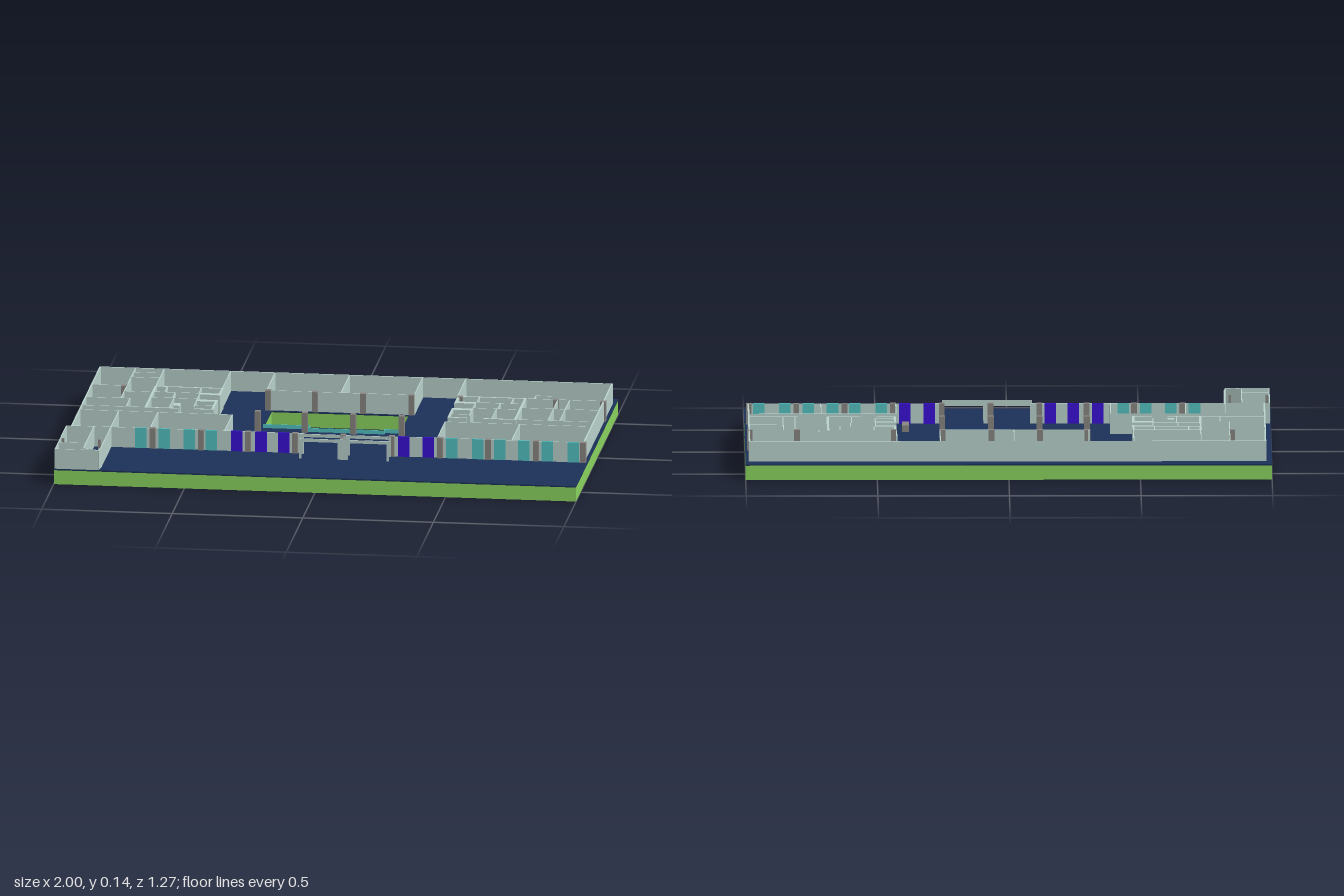
import * as THREE from 'three';

const mat = (color) => new THREE.MeshStandardMaterial({ color });
const FLOOR = 0.06, TOP = 0.138;

export function createModel() {
  const model = new THREE.Group();
  const wallMat = mat(0xbcd4cf), navy = mat(0x1c3058), green = mat(0x8cd660);
  const under = mat(0x6f8580), columnMat = mat(0x8a8783), teal = mat(0x55c4c4), purple = mat(0x3a10d8);

  const group = (name) => {
    const g = new THREE.Group();
    g.name = name;
    model.add(g);
    return g;
  };
  // Box given by its limits in x, z and y
  const block = (parent, name, material, x0, x1, z0, z1, y0 = FLOOR, y1 = TOP) => {
    const m = new THREE.Mesh(new THREE.BoxGeometry(x1 - x0, y1 - y0, z1 - z0), material);
    m.position.set((x0 + x1) / 2, (y0 + y1) / 2, (z0 + z1) / 2);
    m.name = name;
    parent.add(m);
  };
  // Straight wall between two plan points
  const wall = (parent, [x0, z0, x1, z1], t = 0.004, name = 'wall', material = wallMat, y0 = FLOOR, y1 = TOP) => {
    const len = Math.hypot(x1 - x0, z1 - z0);
    const m = new THREE.Mesh(new THREE.BoxGeometry(len + t, y1 - y0, t), material);
    m.position.set((x0 + x1) / 2, (y0 + y1) / 2, (z0 + z1) / 2);
    m.rotation.y = -Math.atan2(z1 - z0, x1 - x0);
    m.name = name;
    parent.add(m);
  };
  const mirrorX = (x) => -x - 0.045; // maps the right-hand core onto the left-hand one

  // Base and floor, both pierced by the courtyard and the two shafts
  const plan = (pts) => pts.map(([x, z]) => new THREE.Vector2(x, z));
  const rect = (x0, x1, z0, z1) => plan([[x0, z0], [x1, z0], [x1, z1], [x0, z1]]);
  const outline = new THREE.Shape(rect(-1, 1, -0.635, 0.635));
  const courtyard = plan([[-0.285, -0.3], [0.24, -0.3], [0.24, -0.04], [0.18, -0.04],
    [0.18, -0.02], [-0.105, -0.02], [-0.105, -0.055], [-0.285, -0.055]]);
  outline.holes = [courtyard, rect(-0.68, -0.56, -0.31, -0.235), rect(0.515, 0.635, -0.31, -0.235)]
    .map((p) => new THREE.Path(p));
  const slab = (name, materials, y0, y1) => {
    const g = new THREE.ExtrudeGeometry(outline, { depth: y1 - y0, bevelEnabled: false });
    g.rotateX(Math.PI / 2).translate(0, y1, 0);
    const m = new THREE.Mesh(g, materials);
    m.name = name;
    model.add(m);
  };
  slab('base', [under, green], 0, 0.055);
  slab('floor', navy, 0.055, FLOOR);

  // Outer walls
  const outer = group('outerWalls');
  [[-0.975, -0.568, 0.985, -0.568], [0.985, -0.568, 0.985, 0.29], [-0.975, -0.568, -0.975, 0.29]]
    .forEach((w) => wall(outer, w, 0.006));

  // Rooms along the back
  const back = group('backRooms');
  [[-0.84, -0.13], [-0.73, -0.315], [-0.475, -0.315], [-0.305, -0.31], [-0.02, -0.31], [0.26, -0.31], [0.425, -0.315]]
    .forEach(([x, z]) => wall(back, [x, -0.568, x, z]));
  [[-0.84, -0.505, -0.73, -0.505], [-0.84, -0.435, -0.73, -0.435], [-0.305, -0.31, 0.26, -0.31],
    [-0.975, -0.31, -0.84, -0.31]].forEach((w) => wall(back, w));

  // Small rooms at both ends
  const ends = group('endRooms');
  [[-0.84, -0.23, -0.73, -0.23], [-0.975, -0.13, -0.805, -0.13], [-0.805, -0.13, -0.805, -0.01],
    [-0.975, -0.01, -0.73, -0.01], [0.685, -0.315, 0.985, -0.315], [0.72, -0.36, 0.78, -0.36],
    [0.72, -0.36, 0.72, -0.315], [0.81, -0.315, 0.81, -0.01], [0.855, -0.315, 0.855, -0.01],
    [0.685, -0.18, 0.985, -0.18], [0.685, -0.01, 0.985, -0.01]].forEach((w) => wall(ends, w));

  // Stair and lift cores, mirrored
  for (const side of ['left', 'right']) {
    const core = group(side + 'Core');
    const fx = side === 'right' ? mirrorX : (x) => x;
    const put = ([x0, z0, x1, z1], t) => wall(core, [fx(x0), z0, fx(x1), z1], t);
    [[-0.73, -0.315, -0.73, -0.01], [-0.73, -0.315, -0.475, -0.315], [-0.73, -0.01, -0.61, -0.01],
      [-0.54, -0.01, -0.475, -0.01], [-0.475, -0.315, -0.475, -0.215], [-0.475, -0.14, -0.475, -0.01]]
      .forEach((w) => put(w, 0.009));
    [[-0.73, -0.235, -0.55, -0.235], [-0.685, -0.315, -0.685, -0.235], [-0.555, -0.315, -0.555, -0.235],
      [-0.645, -0.235, -0.645, -0.155], [-0.725, -0.155, -0.55, -0.155], [-0.55, -0.235, -0.55, -0.045],
      [-0.64, -0.155, -0.64, -0.01], [-0.55, -0.06, -0.475, -0.06]].forEach((w) => put(w, 0.004));
    for (const [x0, x1, z0, z1] of [[-0.548, -0.475, -0.24, -0.218], [-0.548, -0.475, -0.145, -0.12],
      [-0.63, -0.605, -0.085, -0.045]]) {
      if (side === 'right' && x0 === -0.63) continue;
      block(core, 'duct', wallMat, Math.min(fx(x0), fx(x1)), Math.max(fx(x0), fx(x1)), z0, z1);
    }
  }

  // Rooms along the front
  const front = group('frontRooms');
  [[-0.975, 0.055, -0.39, 0.055], [0.425, 0.055, 0.985, 0.055], [-0.975, 0.29, -0.825, 0.29]]
    .forEach((w) => wall(front, w));
  [-0.825, -0.675, -0.39, 0.425, 0.71].forEach((x) => wall(front, [x, 0.055, x, 0.29]));

  // Corner annex
  const annex = group('cornerAnnex');
  [[-0.995, 0.29, -0.995, 0.63], [-0.995, 0.63, -0.83, 0.63], [-0.825, 0.29, -0.825, 0.585],
    [-0.825, 0.585, -0.83, 0.63], [-0.89, 0.29, -0.89, 0.61], [-0.995, 0.535, -0.89, 0.535],
    [-0.89, 0.61, -0.83, 0.63], [-0.995, 0.29, -0.825, 0.29]].forEach((w) => wall(annex, w));
  for (const x of [-0.985, -0.845]) block(annex, 'post', columnMat, x - 0.005, x + 0.005, 0.47, 0.48);

  // Front facade: plain wall with coloured panels
  const facade = group('facade');
  wall(facade, [-0.825, 0.29, -0.09, 0.29]);
  wall(facade, [0.245, 0.29, 0.985, 0.29]);
  const panels = (xs, name, material) => xs.forEach((x) =>
    block(facade, name, material, x - 0.022, x + 0.022, 0.286, 0.294, FLOOR, TOP + 0.0005));
  panels([-0.71, -0.62, -0.525, -0.44, 0.48, 0.58, 0.665, 0.757, 0.847, 0.945], 'tealPanel', teal);
  panels([-0.343, -0.25, -0.162, 0.297, 0.39], 'purplePanel', purple);

  // Entrance lobby: slender frames around open doorways
  const entrance = group('entrance');
  for (const z of [0.297, 0.365]) {
    wall(entrance, [-0.09, z, 0.245, z], 0.004, 'lintel', wallMat, 0.126, TOP);
    wall(entrance, [0.055, z, 0.09, z], 0.004, 'doorPier');
    for (const x of [-0.09, 0.245]) block(entrance, 'jamb', wallMat, x - 0.004, x + 0.004, z - 0.004, z + 0.004);
  }

  // Columns on the structural grid
  const columns = group('columns');
  const row = (z, xs) => xs.forEach((x) =>
    block(columns, 'column', columnMat, x - 0.011, x + 0.011, z - 0.011, z + 0.011, FLOOR, TOP + 0.001));
  row(0.288, [-0.665, -0.48, -0.3, -0.12, 0.065, 0.25, 0.435, 0.62, 0.803, 0.983]);
  row(-0.312, [-0.85, -0.3, -0.12, 0.065, 0.25, 0.435, 0.803, 0.983]);
  row(-0.008, [-0.3, -0.12, 0.065, 0.25]);

  // Low railing along the courtyard
  const railing = group('courtyardRailing');
  [[-0.285, -0.053, -0.107, -0.053], [-0.107, -0.053, -0.107, -0.018], [-0.107, -0.018, 0.182, -0.018],
    [0.182, -0.018, 0.182, -0.038], [0.182, -0.038, 0.242, -0.038]]
    .forEach((w) => wall(railing, w, 0.003, 'railing', teal, FLOOR, 0.075));

  // Reception desk
  block(model, 'receptionDesk', columnMat, 0.375, 0.402, 0.1, 0.185, FLOOR, 0.085);
  return model;
}
